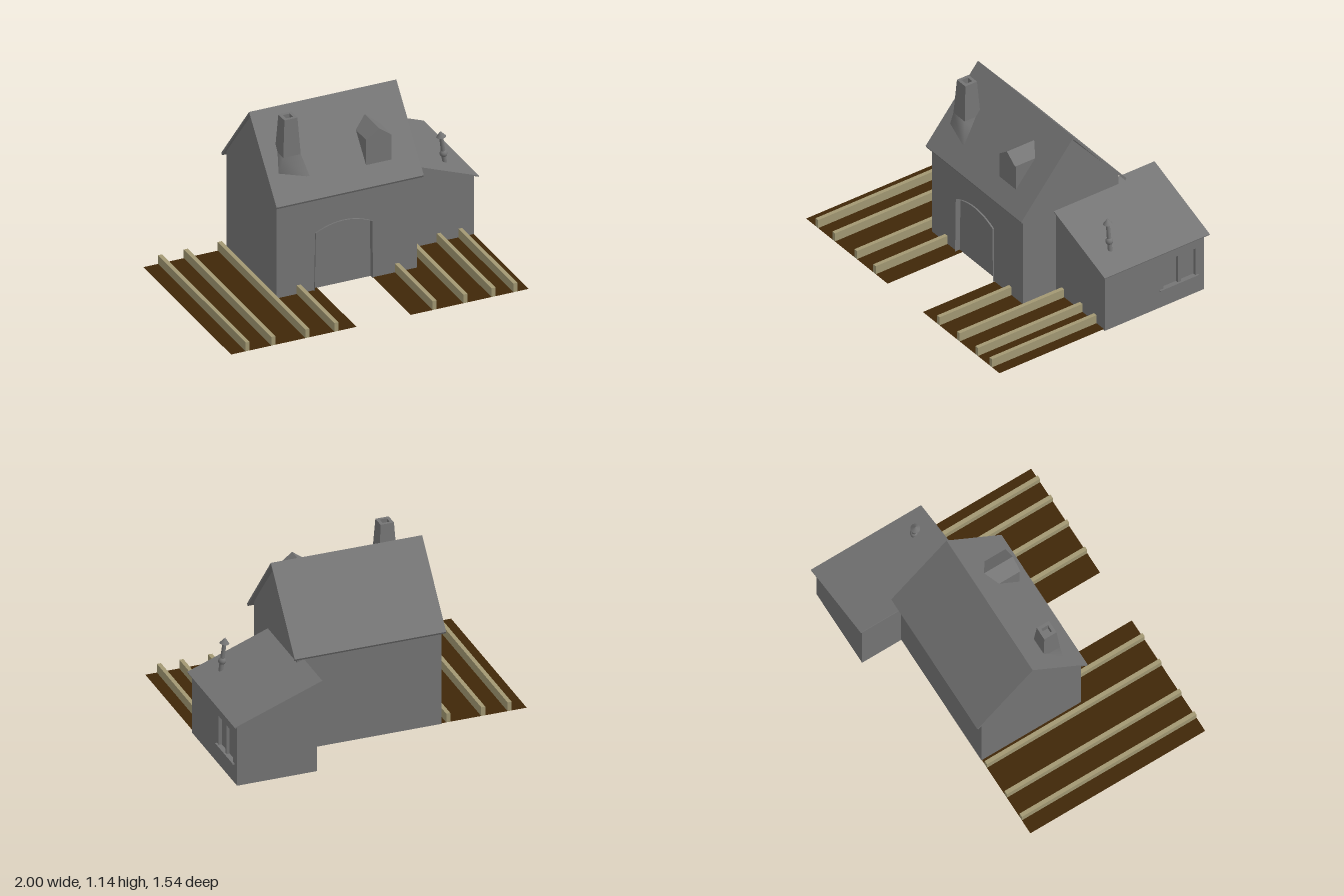
import * as THREE from 'three';

const grey = new THREE.MeshStandardMaterial({ color: 0x757575, flatShading: true, side: THREE.DoubleSide });
const smoothGrey = new THREE.MeshStandardMaterial({ color: 0x757575, side: THREE.DoubleSide });
const soil = new THREE.MeshStandardMaterial({ color: 0x402708, side: THREE.DoubleSide });
const timber = new THREE.MeshStandardMaterial({ color: 0xa29873, side: THREE.DoubleSide });

const toShape = (pts) => new THREE.Shape(pts.map(([x, y]) => new THREE.Vector2(x, y)));
const rect = (x0, y0, x1, y1) => [[x0, y0], [x1, y0], [x1, y1], [x0, y1]];

function add(parent, name, geometry, material = grey) {
  const mesh = new THREE.Mesh(geometry, material);
  mesh.name = name;
  parent.add(mesh);
  return mesh;
}

// Thin flat wall from an outline, with optional openings
function panel(parent, name, pts, z = 0, holes = []) {
  const shape = toShape(pts);
  shape.holes = holes.map(toShape);
  return add(parent, name, new THREE.ShapeGeometry(shape).translate(0, 0, z));
}

// Solid slab from a profile
function slab(parent, name, pts, z0, z1) {
  const geo = new THREE.ExtrudeGeometry(toShape(pts), { depth: z1 - z0, bevelEnabled: false });
  return add(parent, name, geo.translate(0, 0, z0));
}

// Strip that follows an outline between two depths
function strip(parent, name, pts, z0, z1) {
  const pos = [], index = [];
  pts.forEach(([x, y], i) => {
    pos.push(x, y, z0, x, y, z1);
    if (i) index.push(2 * i - 2, 2 * i, 2 * i - 1, 2 * i - 1, 2 * i, 2 * i + 1);
  });
  const geo = new THREE.BufferGeometry();
  geo.setAttribute('position', new THREE.Float32BufferAttribute(pos, 3));
  geo.setIndex(index);
  geo.computeVertexNormals();
  return add(parent, name, geo);
}

// Group whose local +z points along the model's +x, and local +x along -z
function sideways(parent, name) {
  const g = new THREE.Group();
  g.name = name;
  g.rotation.y = Math.PI / 2;
  parent.add(g);
  return g;
}

function boxGeometry(x0, x1, y0, y1, z0, z1) {
  return new THREE.BoxGeometry(x1 - x0, y1 - y0, z1 - z0)
    .translate((x0 + x1) / 2, (y0 + y1) / 2, (z0 + z1) / 2);
}

// Four-sided turned profile of [half width, y], seam at the back left corner
function squareLathe(profile) {
  return new THREE.LatheGeometry(profile.map(([r, y]) => new THREE.Vector2(r * Math.SQRT2, y)), 4)
    .rotateY(Math.PI * 1.25);
}

function buildChimney(parent) {
  const chimney = new THREE.Group();
  chimney.name = 'chimney';
  chimney.position.set(-0.302, 0, 0.083);
  parent.add(chimney);
  // Hollow stack
  add(chimney, 'chimneyStack', squareLathe(
    [[0.058, 0.9], [0.043, 1.144], [0.023, 1.144], [0.023, 1.09], [0, 1.09]]));
  // Flared foot, wider and lower on the side toward the doorway
  const foot = squareLathe([[0.1, 0.735], [0.058, 0.9]]);
  const p = foot.attributes.position;
  for (let i = 0; i < p.count; i++) {
    if (p.getY(i) > 0.8) continue;
    if (p.getX(i) > 0) p.setX(i, 0.107);
    else p.setXYZ(i, -0.098, 0.775, Math.min(p.getZ(i), 0.06));
  }
  foot.computeVertexNormals();
  add(chimney, 'chimneyFoot', foot, smoothGrey);
}

function buildHouse(root) {
  const house = new THREE.Group();
  house.name = 'mainHouse';
  root.add(house);

  // Arched doorway cut in the front wall, with a recessed door and a plain lining behind
  const arc = new THREE.QuadraticBezierCurve(
    new THREE.Vector2(-0.193, 0.4), new THREE.Vector2(-0.005, 0.495), new THREE.Vector2(0.182, 0.4));
  const arch = [[-0.2, 0.01], ...arc.getPoints(12).map((p) => [p.x, p.y]), [0.185, 0.01]];
  panel(house, 'frontWall', [[-0.45, 0.01], ...arch, [0.48, 0.01], [0.48, 0.675], [-0.45, 0.675]], 0.235);
  strip(house, 'doorFrame', arch, 0.21, 0.245);
  panel(house, 'door', arch, 0.21);
  panel(house, 'frontWallLining', rect(-0.45, 0.01, 0.48, 0.675), 0.206);
  panel(house, 'backWall', rect(-0.45, 0.01, 0.48, 0.675), -0.47);

  // Gable ends and steep roof
  const ends = sideways(house, 'gablesAndRoof');
  const gable = [[-0.235, 0.01], [0.47, 0.01], [0.47, 0.675], [0.117, 1.085], [-0.235, 0.675]];
  panel(ends, 'rightGable', gable, -0.45);
  panel(ends, 'leftGable', gable, 0.48);
  slab(ends, 'mainRoof', [[-0.271, 0.648], [-0.264, 0.634], [0.117, 1.097],
    [0.5, 0.634], [0.508, 0.648], [0.117, 1.112]], -0.465, 0.51);

  // Dormer with a slightly overhanging roof
  const peak = [[0.335, 0.923], [0.252, 0.986], [0.168, 0.923]];
  slab(house, 'dormer', [[0.168, 0.753], [0.335, 0.753], ...peak], -0.01, 0.184);
  strip(house, 'dormerRoof', peak.map(([x, y]) => [x, y + 0.001]), -0.01, 0.19);

  buildChimney(house);
}

function buildAnnex(root) {
  const annex = new THREE.Group();
  annex.name = 'annex';
  root.add(annex);

  // Walls under a single-pitch roof
  const end = [[0.46, 0], [0.975, 0], [0.975, 0.408], [0.46, 0.602]];
  panel(annex, 'annexFrontWall', end, -0.01);
  panel(annex, 'annexBackWall', end, -0.745);
  slab(annex, 'annexRoof', [[0.434, 0.612], [0.998, 0.401], [1, 0.408], [0.436, 0.619]], -0.77, 0.008);

  const sides = sideways(annex, 'annexSides');
  panel(sides, 'annexInnerWall', rect(0.01, 0, 0.745, 0.602), 0.46);
  const windows = [rect(0.445, 0.13, 0.552, 0.325), rect(0.573, 0.13, 0.68, 0.325)];
  panel(sides, 'annexOuterWall', rect(0.01, 0, 0.745, 0.408), 0.975, windows);

  // Recessed windows and their sill
  for (const w of windows) {
    strip(sides, 'windowReveal', [...w, w[0]], 0.955, 0.975);
    panel(sides, 'windowPane', w, 0.955);
  }
  add(sides, 'windowSill', boxGeometry(0.415, 0.7, 0.12, 0.13, 0.96, 0.987));

  // Leaning stovepipe
  const pipe = new THREE.Group();
  pipe.name = 'stovepipe';
  pipe.position.set(0.845, 0.45, -0.145);
  pipe.rotation.z = 0.13;
  annex.add(pipe);
  add(pipe, 'pipeShaft', new THREE.CylinderGeometry(0.012, 0.015, 0.2, 16).translate(0, 0.1, 0), smoothGrey);
  add(pipe, 'pipeJoint', new THREE.SphereGeometry(0.024, 16, 12).translate(0, 0.076, 0), smoothGrey);
  add(pipe, 'pipeCap', new THREE.ConeGeometry(0.03, 0.038, 16).translate(0, 0.212, 0), smoothGrey);
}

// Garden bed: strips of soil between long timbers that are open underneath
function buildBed(root, name, x0, x1, zBack, beams) {
  const bed = new THREE.Group();
  bed.name = name;
  root.add(bed);
  const ground = 0.012, half = 0.013, zFront = 0.767;
  let left = x0;
  for (const next of [...beams, x1 + half]) {
    const width = next - half - left;
    add(bed, 'soil', new THREE.PlaneGeometry(width, zFront - zBack).rotateX(-Math.PI / 2), soil)
      .position.set(left + width / 2, ground, (zFront + zBack) / 2);
    left = next + half;
  }
  for (const x of beams) {
    const geo = boxGeometry(x - half, x + half, ground, 0.071, zBack, zFront);
    const index = [...geo.index.array];
    index.splice(18, 6); // underside
    geo.setIndex(index);
    add(bed, 'beam', geo, timber);
  }
}

export function createModel() {
  const root = new THREE.Group();
  root.name = 'cottage';
  buildHouse(root);
  buildAnnex(root);
  buildBed(root, 'rightBed', -1, -0.17, -0.467, [-0.89, -0.72, -0.495, -0.303]);
  buildBed(root, 'leftBed', 0.19, 0.97, -0.007, [0.348, 0.552, 0.738, 0.882]);
  return root;
}
